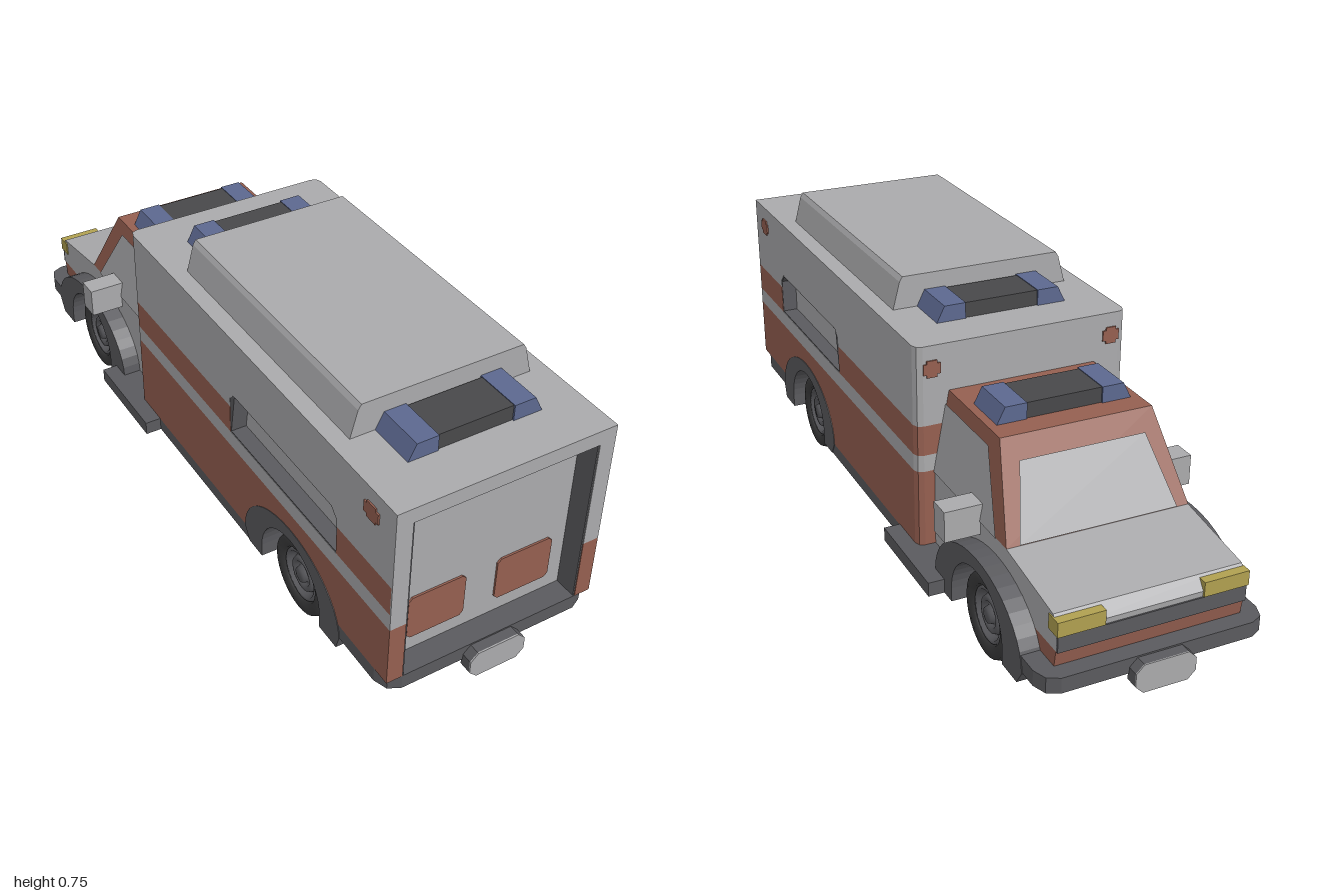
import * as THREE from 'three';

const mat = (name, color) => Object.assign(new THREE.MeshStandardMaterial({ color }), { name });

export function createModel() {
  const root = new THREE.Group();
  root.name = 'ambulance';
  const white = mat('body white', 0xaaaaac), red = mat('stripe red', 0x955f50);
  const dark = mat('trim grey', 0x5a5a5e), black = mat('underside black', 0x303033);
  const tyreMat = mat('tyre black', 0x3a3a3b), blue = mat('lamp blue', 0x5c688f);
  const yellow = mat('headlight yellow', 0xb0a050), bar = mat('light bar grey', 0x48484a);
  const SIDES = [1, -1];

  const add = (name, geo, m) => {
    const mesh = new THREE.Mesh(geo, m);
    mesh.name = name;
    root.add(mesh);
    return mesh;
  };
  const shapeOf = (pts) => new THREE.Shape(pts.map(([a, b]) => new THREE.Vector2(a, b)));
  const solid = (shape, depth) => new THREE.ExtrudeGeometry(shape, { depth, bevelEnabled: false, curveSegments: 24 });
  // box given by its limits
  const box = (name, m, x0, x1, y0, y1, z0, z1) => {
    const g = new THREE.BoxGeometry(x1 - x0, y1 - y0, z1 - z0);
    return add(name, g.translate((x0 + x1) / 2, (y0 + y1) / 2, (z0 + z1) / 2), m);
  };
  // (z, y) outline extruded across x
  const sidePrism = (name, m, shape, x0, x1) =>
    add(name, solid(shape, x1 - x0).rotateY(-Math.PI / 2).translate(x1, 0, 0), m);
  // the same on both flanks
  const flanks = (name, m, shape, x0, x1) => {
    sidePrism(name, m, shape, x0, x1);
    sidePrism(name, m, shape, -x1, -x0);
  };
  // (x, y) outline extruded along z
  const frontPrism = (name, m, pts, z0, z1) => add(name, solid(shapeOf(pts), z1 - z0).translate(0, 0, z0), m);
  // (x, z) outline extruded upwards
  const planPrism = (name, m, pts, y0, y1) =>
    add(name, solid(shapeOf(pts.map(([x, z]) => [x, -z])), y1 - y0).rotateX(-Math.PI / 2).translate(0, y0, 0), m);
  const octagon = (cx, cy, w, h, c) => [[w - c, -h], [w, c - h], [w, h - c], [w - c, h], [c - w, h], [-w, h - c], [-w, c - h], [c - w, -h]]
    .map(([a, b]) => [cx + a, cy + b]);
  // arc of points around a wheel centre, from +z side to -z side
  const arc = (cz, rz, ry, n = 20) => Array.from({ length: n + 1 }, (_, i) => {
    const a = Math.PI * i / n;
    return [cz + rz * Math.cos(a), 0.125 + ry * Math.sin(a)];
  });
  // four-sided face, corners counter-clockwise
  const quads = (name, m, list) => {
    const g = new THREE.BufferGeometry(), p = [];
    list.forEach(([a, b, c, d]) => p.push(...a, ...b, ...c, ...a, ...c, ...d));
    g.setAttribute('position', new THREE.Float32BufferAttribute(p, 3));
    g.computeVertexNormals();
    return add(name, g, m);
  };

  const W = 0.288, IN = 0.245, REAR = 0.97, FRONT = -0.26, RW = 0.55, FW = -0.635;

  // patient box: core, recessed rear door and roof
  box('boxCore', white, -IN, IN, 0.29, 0.64, FRONT, 0.9);
  box('rearDoor', white, -IN, IN, 0.15, 0.63, 0.85, 0.91);
  box('boxRoof', white, -IN, IN, 0.63, 0.67, FRONT, REAR);

  // box flanks, striped, with a wheel notch and a locker recess
  flanks('lowerFlank', red, shapeOf([[REAR, 0.167], [REAR, 0.335], [FRONT, 0.335], [FRONT, 0.123],
    ...arc(RW, 0.145, 0.14).reverse(), [0.695, 0.167]]), IN, W);
  flanks('flankBand', white, shapeOf([[REAR, 0.335], [REAR, 0.38], [FRONT, 0.38], [FRONT, 0.335]]), IN, W);
  flanks('upperFlank', white, shapeOf([[REAR, 0.46], [REAR, 0.67], [FRONT, 0.67], [FRONT, 0.46], [0.255, 0.46],
    [0.255, 0.485], [0.275, 0.505], [0.725, 0.505], [0.75, 0.48], [0.75, 0.46]]), IN, W);
  for (const [z0, z1] of [[0.75, 0.966], [FRONT, 0.255]])
    flanks('flankStripe', red, shapeOf([[z0, 0.38], [z1, 0.38], [z1, 0.46], [z0, 0.46]]), IN, W);
  flanks('stripeEnd', white, shapeOf([[0.966, 0.38], [REAR, 0.38], [REAR, 0.46], [0.966, 0.46]]), IN, W);
  const lining = shapeOf([[0.255, 0.38], [0.75, 0.38], [0.75, 0.48], [0.725, 0.505], [0.275, 0.505], [0.255, 0.485]]);
  lining.holes.push(shapeOf([[0.258, 0.383], [0.278, 0.502], [0.722, 0.502], [0.747, 0.478], [0.747, 0.383]]));
  flanks('lockerLining', dark, lining, IN, W - 0.001);

  // box front with eased corners, striped in layers
  const frontPlan = [[-W, FRONT], [-W, -0.27], [-0.282, -0.284], [-0.268, -0.29],
    [0.268, -0.29], [0.282, -0.284], [W, -0.27], [W, FRONT]];
  [[0.123, 0.335, red], [0.335, 0.38, white], [0.38, 0.46, red], [0.46, 0.67, white]]
    .forEach(([y0, y1, m]) => planPrism('boxFront', m, frontPlan, y0, y1));

  // rear door lining, windows and small emblems
  for (const s of SIDES) {
    box('doorLining', dark, s * 0.243 - 0.002, s * 0.243 + 0.002, 0.168, 0.63, 0.91, 0.968);
    frontPrism('rearWindow', red, octagon(s * 0.122, 0.272, 0.078, 0.062, 0.01), 0.91, 0.915);
    for (const [a, b] of [[0.028, 0.014], [0.017, 0.022]]) {
      box('sideEmblem', red, s * W - 0.004, s * W + 0.004, 0.61 - b, 0.61 + b, 0.882 - a, 0.882 + a);
      box('frontEmblem', red, s * 0.245 - a * 0.8, s * 0.245 + a * 0.8, 0.61 - b, 0.61 + b, -0.294, -0.288);
    }
  }

  // raised roof pod
  frontPrism('roofPod', white, [[-0.243, 0.67], [0.243, 0.67], [0.224, 0.742], [0.216, 0.755],
    [-0.216, 0.755], [-0.224, 0.742]], -0.045, 0.72);

  // light bars
  const lightBar = (y, z) => {
    frontPrism('lightBarCentre', bar, [[-0.1, y], [0.1, y], [0.1, y + 0.04], [-0.1, y + 0.04]], z - 0.058, z + 0.058);
    frontPrism('lampLeft', blue, [[0.1, y], [0.178, y], [0.157, y + 0.042], [0.1, y + 0.042]], z - 0.0625, z + 0.0625);
    frontPrism('lampRight', blue, [[-0.178, y], [-0.1, y], [-0.1, y + 0.042], [-0.157, y + 0.042]], z - 0.0625, z + 0.0625);
  };
  lightBar(0.67, 0.783);
  lightBar(0.67, -0.108);
  lightBar(0.545, -0.447);

  // cab lower body and bonnet
  sidePrism('cabBody', white, shapeOf([[-0.285, 0.123], [-0.285, 0.33], [-0.69, 0.33], [-0.915, 0.296], [-0.938, 0.265],
    [-0.932, 0.21], [-0.8, 0.21], ...arc(FW, 0.15, 0.14).reverse().filter((p) => p[1] > 0.2 || p[0] > FW)]), -0.24, 0.24);
  sidePrism('noseLower', red, shapeOf([[-0.8, 0.165], [-0.8, 0.21], [-0.932, 0.21], [-0.925, 0.165]]), -0.24, 0.24);
  box('grille', dark, -0.24, 0.24, 0.21, 0.25, -0.94, -0.932);

  // cab upper: roof, pillars and windscreen frame
  const [bl, br, fl, fr] = [[-0.24, 0.33, -0.285], [0.24, 0.33, -0.285], [-0.24, 0.33, -0.69], [0.24, 0.33, -0.69]];
  const [tbl, tbr, tfl, tfr] = [[-0.2, 0.545, -0.285], [0.2, 0.545, -0.285], [-0.2, 0.545, -0.57], [0.2, 0.545, -0.57]];
  quads('cabRoofAndPillars', red, [[tbl, tbr, tfr, tfl], [fr, fl, tfl, tfr], [br, fr, tfr, tbr], [fl, bl, tbl, tfl]]);
  quads('windscreen', white, [[[0.207, 0.333, -0.693], [-0.207, 0.333, -0.693], [-0.165, 0.496, -0.602], [0.165, 0.496, -0.602]]]);
  const doorX = (y) => 0.243 - (y - 0.33) / 0.215 * 0.04;
  for (const s of SIDES) {
    const door = [[-0.29, 0.33], [-0.64, 0.33], [-0.53, 0.51], [-0.29, 0.51]].map(([z, y]) => [s * doorX(y), y, z]);
    quads('cabSideWindow', white, [s > 0 ? door : door.reverse()]);
    box('mirror', white, s * 0.28 - 0.052, s * 0.28 + 0.052, 0.295, 0.375, -0.555, -0.495);
    box('headlight', yellow, s * 0.184 - 0.059, s * 0.184 + 0.059, 0.252, 0.29, -0.943, -0.9);
    box('sideStep', dark, s * 0.27 - 0.062, s * 0.27 + 0.062, 0.088, 0.126, -0.455, -0.168);
  }

  // wheel arches
  for (const [z, rz] of [[RW, 0.225], [FW, 0.235]]) {
    const s = shapeOf([[z + rz * 0.95, 0.088], ...arc(z, rz, 0.162), [z - rz * 0.9, 0.088], [z - 0.138, 0.088],
      ...arc(z, 0.138, 0.128).reverse(), [z + 0.138, 0.088]]);
    flanks('wheelArch', dark, s, 0.2, 0.2895);
  }

  // sill, chassis and floor
  box('sill', dark, -W, W, 0.089, 0.125, -0.46, 0.4);
  box('chassis', black, -0.125, 0.125, 0.088, 0.29, -0.82, 0.75);
  box('floor', black, -0.284, 0.284, 0.086, 0.09, -0.46, 0.39);
  for (const [z0, z1] of [[0.69, 0.745], [-0.83, -0.775]])
    box('floorEnd', black, -0.28, 0.28, 0.087, 0.13, z0, z1);

  // bumpers with eased corners, each carrying a plate
  const bumper = (name, e, z0) => {
    const pts = [[-W, z0], [W, z0], [W, e * 0.92], [0.275, e * 0.955], [0.245, e * 0.97],
      [-0.245, e * 0.97], [-0.275, e * 0.955], [-W, e * 0.92]];
    planPrism(name, dark, e > 0 ? pts : pts.reverse(), 0.128, 0.168);
    const z = e > 0 ? 0.965 : -0.997;
    frontPrism('plateBlock', dark, octagon(0, 0.127, 0.077, 0.037, 0.02), z, z + 0.032);
    const f = e > 0 ? 0.996 : -1;
    frontPrism('plate', white, octagon(0, 0.127, 0.077, 0.037, 0.02), f, f + 0.004);
  };
  bumper('rearBumper', 1, 0.69);
  bumper('frontBumper', -1, -0.775);

  // wheels: turned tyre and stepped hub, axis along x
  const turned = (pts, s, n = 28) => new THREE.LatheGeometry(pts.map(([r, a]) => new THREE.Vector2(r, a)), n).rotateZ(-s * Math.PI / 2);
  const tyre = [[0.06, -0.066], [0.105, -0.066], [0.12, -0.025], [0.125, -0.022], [0.125, 0.022], [0.12, 0.028], [0.105, 0.066], [0.075, 0.064], [0.07, 0.05]];
  const rim = [[0.074, 0.05], [0.07, 0.06], [0.062, 0.06], [0.056, 0.045], [0.05, 0.045]];
  const hub = [[0.05, 0.045], [0.046, 0.056], [0.034, 0.056], [0.03, 0.048], [0.024, 0.048], [0.02, 0.062], [0, 0.062]];
  for (const z of [RW, FW]) for (const s of SIDES) {
    const parts = [add('tyre', turned(tyre, s), tyreMat), add('rim', turned(rim, s), dark), add('hub', turned(hub, s), dark)];
    for (const p of parts) p.position.set(s * 0.199, 0.125, z);
    const well = new THREE.CylinderGeometry(0.058, 0.058, 0.1, 20).rotateZ(Math.PI / 2);
    add('axleEnd', well, black).position.set(s * 0.165, 0.125, z);
  }

  return root;
}
